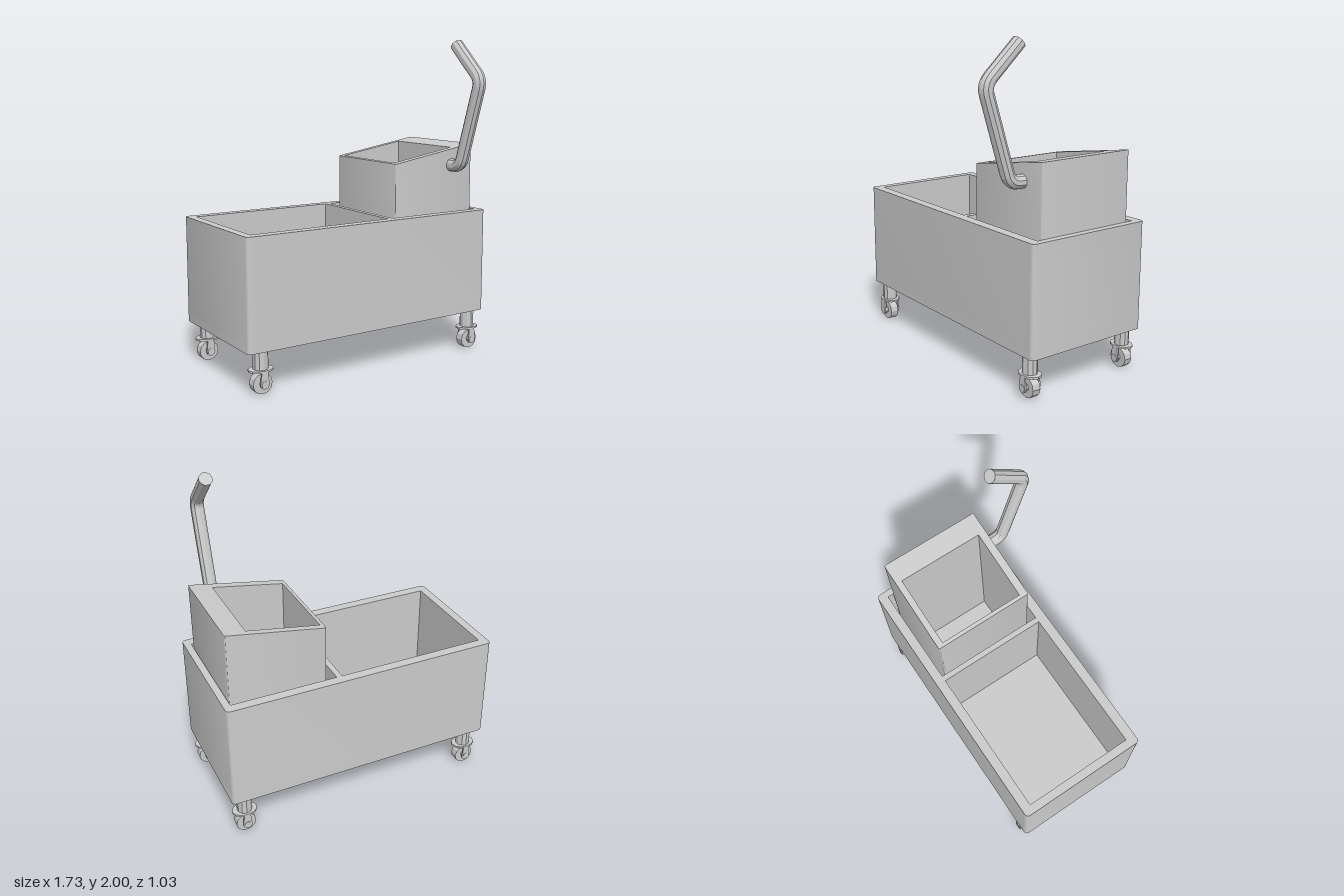
import * as THREE from 'three';
import { toCreasedNormals } from 'three/addons/utils/BufferGeometryUtils.js';

const grey = new THREE.MeshStandardMaterial({ color: 0xcccccc });
const faceted = new THREE.MeshStandardMaterial({ color: 0xcccccc, flatShading: true });

function part(name, geometry, material = grey, x = 0, y = 0, z = 0) {
  const mesh = new THREE.Mesh(geometry, material);
  mesh.name = name;
  mesh.position.set(x, y, z);
  return mesh;
}

// Rectangle in plan, with rounded corners if r > 0 (shape y is -z)
function plan(x0, x1, z0, z1, r = 0, Type = THREE.Shape) {
  const s = new Type(), a = -z1, b = -z0;
  if (!r) return s.setFromPoints([[x0, a], [x1, a], [x1, b], [x0, b], [x0, a]].map(p => new THREE.Vector2(...p)));
  s.absarc(x1 - r, a + r, r, -Math.PI / 2, 0);
  s.absarc(x1 - r, b - r, r, 0, Math.PI / 2);
  s.absarc(x0 + r, b - r, r, Math.PI / 2, Math.PI);
  s.absarc(x0 + r, a + r, r, Math.PI, Math.PI * 1.5);
  s.closePath();
  return s;
}

// Extrude a plan shape upward from y0; topAt(x) gives the height of the upper end
function upright(shape, y0, topAt) {
  const g = new THREE.ExtrudeGeometry(shape, { depth: 1, bevelEnabled: false, curveSegments: 4 });
  g.rotateX(-Math.PI / 2);
  const p = g.attributes.position;
  for (let i = 0; i < p.count; i++) p.setY(i, p.getY(i) > 0.5 ? topAt(p.getX(i)) : y0);
  return toCreasedNormals(g, 0.6);
}

function makeCaster(x, z) {
  const caster = new THREE.Group();
  caster.name = 'caster';
  caster.position.set(x, 0, z);
  caster.add(part('casterStem', new THREE.CylinderGeometry(0.045, 0.045, 0.12, 10), faceted, 0, 0.2, 0));
  const plate = part('casterPlate', new THREE.CylinderGeometry(0.077, 0.077, 0.012, 12), faceted, 0, 0.14, 0);
  plate.scale.z = 0.76;
  caster.add(plate);

  // Fork legs with a rounded lower end around the axle
  const leg = new THREE.Shape();
  leg.moveTo(0.02, 0.14);
  leg.lineTo(-0.02, 0.14);
  leg.lineTo(-0.028, 0.065);
  leg.absarc(0, 0.065, 0.028, Math.PI, Math.PI * 2);
  leg.closePath();
  const legGeometry = new THREE.ExtrudeGeometry(leg, { depth: 0.01, bevelEnabled: false, curveSegments: 6 });
  for (const zLeg of [-0.055, 0.045]) caster.add(part('casterFork', legGeometry, grey, 0, 0, zLeg));

  const wheel = new THREE.CylinderGeometry(0.062, 0.062, 0.052, 12).rotateX(Math.PI / 2);
  const axle = new THREE.CylinderGeometry(0.022, 0.022, 0.114, 8).rotateX(Math.PI / 2);
  caster.add(part('casterWheel', wheel, faceted, 0, 0.062, 0));
  caster.add(part('casterAxle', axle, faceted, 0, 0.065, 0));
  return caster;
}

function makeHandle() {
  const handle = new THREE.Group();
  handle.name = 'handle';
  const v = (y, z) => new THREE.Vector3(0.65, y, z);
  const points = [v(1.215, 0.2), v(1.215, 0.315), v(1.755, 0.485), v(1.97, 0.257)];
  const path = new THREE.CurvePath();
  let from = points[0];
  // Straight runs joined by short rounded bends
  for (let i = 1; i < 3; i++) {
    const p = points[i];
    const before = p.clone().add(points[i - 1].clone().sub(p).setLength(0.055));
    const after = p.clone().add(points[i + 1].clone().sub(p).setLength(0.055));
    path.add(new THREE.LineCurve3(from, before));
    path.add(new THREE.QuadraticBezierCurve3(before, p, after));
    from = after;
  }
  path.add(new THREE.LineCurve3(from, points[3]));
  handle.add(part('handleRod', new THREE.TubeGeometry(path, 60, 0.041, 10), faceted));
  const cap = part('handleEnd', new THREE.CircleGeometry(0.041, 10), grey, ...points[3].toArray());
  cap.lookAt(points[3].clone().add(points[3].clone().sub(points[2])));
  handle.add(cap);
  return handle;
}

export function createModel() {
  const model = new THREE.Group();
  model.name = 'mopBucket';

  // Tank with a large and a small compartment
  const tank = plan(-0.863, 0.863, -0.515, 0.318, 0.025);
  tank.holes.push(plan(-0.81, 0.13, -0.455, 0.255, 0, THREE.Path));
  tank.holes.push(plan(0.165, 0.82, -0.455, 0.255, 0, THREE.Path));
  model.add(part('tankWalls', upright(tank, 0.3, () => 0.92)));
  model.add(part('tankFloor', upright(plan(-0.863, 0.863, -0.515, 0.318, 0.025), 0.255, () => 0.3)));

  // Wringer box with a sloping rim, standing in the small compartment
  const wringer = plan(0.212, 0.816, -0.418, 0.225, 0.01);
  wringer.holes.push(plan(0.235, 0.682, -0.378, 0.175, 0, THREE.Path));
  model.add(part('wringer', upright(wringer, 0.3, x => 1.245 + (x - 0.212) * 0.166)));

  model.add(makeHandle());
  for (const x of [-0.76, 0.775]) for (const z of [-0.453, 0.26]) model.add(makeCaster(x, z));
  return model;
}
